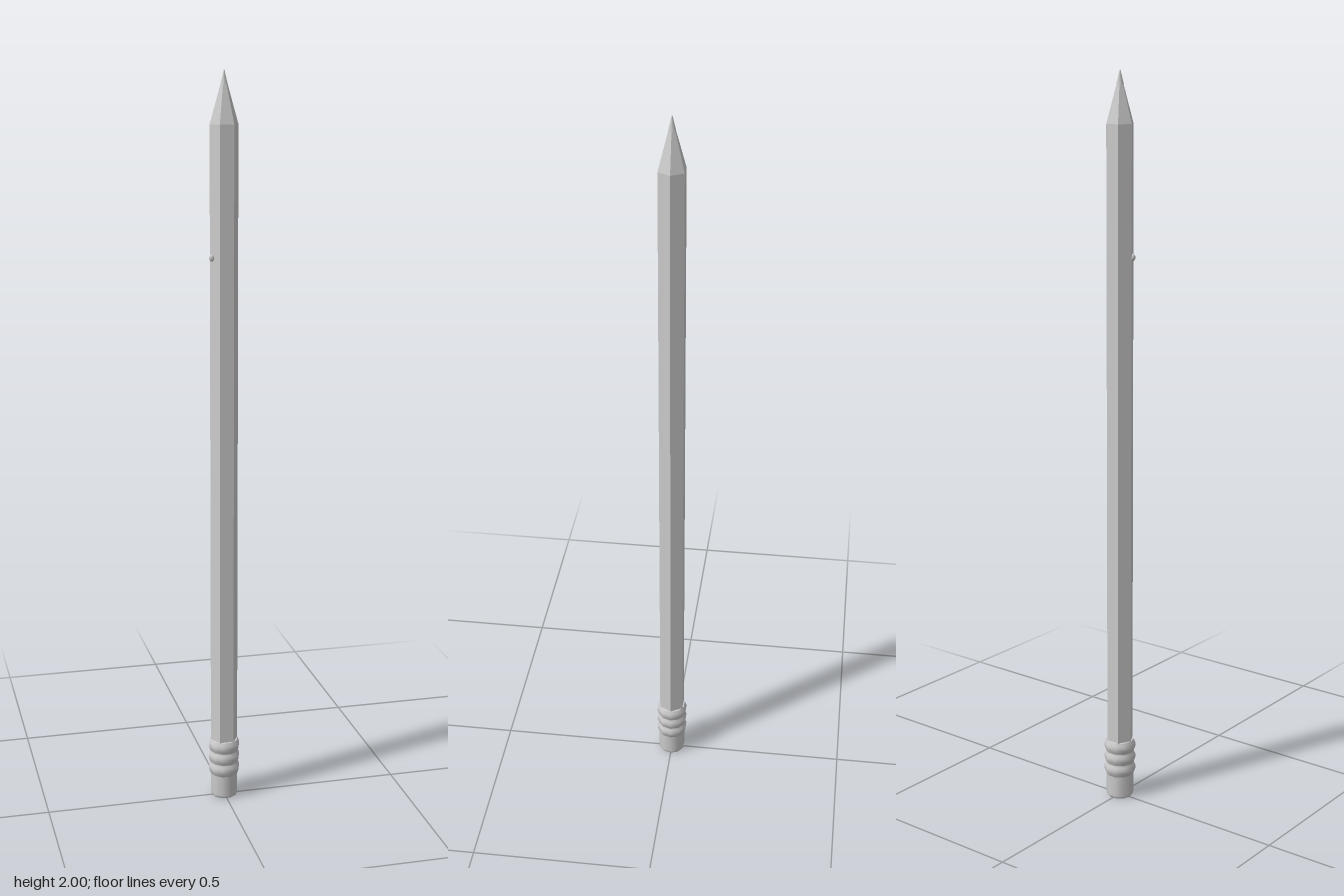
import * as THREE from 'three';

export function createModel() {
  const pencil = new THREE.Group();
  pencil.name = 'pencil';
  const flat = new THREE.MeshStandardMaterial({ color: 0xcccccc, flatShading: true });
  const smooth = new THREE.MeshStandardMaterial({ color: 0xcccccc, side: THREE.DoubleSide });

  const add = (name, geometry, material, x = 0, y = 0, z = 0) => {
    const mesh = new THREE.Mesh(geometry, material);
    mesh.name = name;
    mesh.position.set(x, y, z);
    pencil.add(mesh);
    return mesh;
  };
  // Prism or tapered section between two heights, with a corner on +x
  const section = (name, rTop, rBottom, y0, y1, sides, material) =>
    add(name, new THREE.CylinderGeometry(rTop, rBottom, y1 - y0, sides, 1, false, Math.PI / 2),
      material, 0, (y0 + y1) / 2);
  // Ten-sided turned part
  const turned = (name, points) =>
    add(name, new THREE.LatheGeometry(points.map(p => new THREE.Vector2(...p)), 10, Math.PI / 2), smooth);

  // Six-sided wooden body, sharpened cone and lead
  const R = 0.038;
  section('shaft', R, R, 0.16, 1.865, 6, flat);
  section('sharpenedWood', 0.01, R, 1.865, 1.963, 6, flat);
  section('lead', 0.001, 0.01, 1.963, 2, 10, smooth);

  // Eraser with a small rounded lower edge
  turned('eraser', [[0, 0], [0.034, 0], [0.034, 0], [0.0365, 0.003], [0.038, 0.009], [0.038, 0.075]]);

  // Metal band with three rounded ridges
  const profile = [[0.038, 0.066]];
  for (let ridge = 0; ridge < 3; ridge++) {
    const base = 0.068 + ridge * 0.034;
    for (let i = 0; i <= 6; i++) {
      const t = i / 6;
      profile.push([0.039 + 0.005 * Math.sin(Math.PI * t), base + 0.032 * t]);
    }
  }
  profile.push([0.0385, 0.17], [0.03, 0.17]);
  turned('ferrule', profile);

  // Tiny raised nub on the side of the shaft
  const nub = add('nub', new THREE.SphereGeometry(0.007, 10, 8), smooth, -0.035, 1.525, 0.009);
  nub.scale.y = 1.4;

  return pencil;
}
